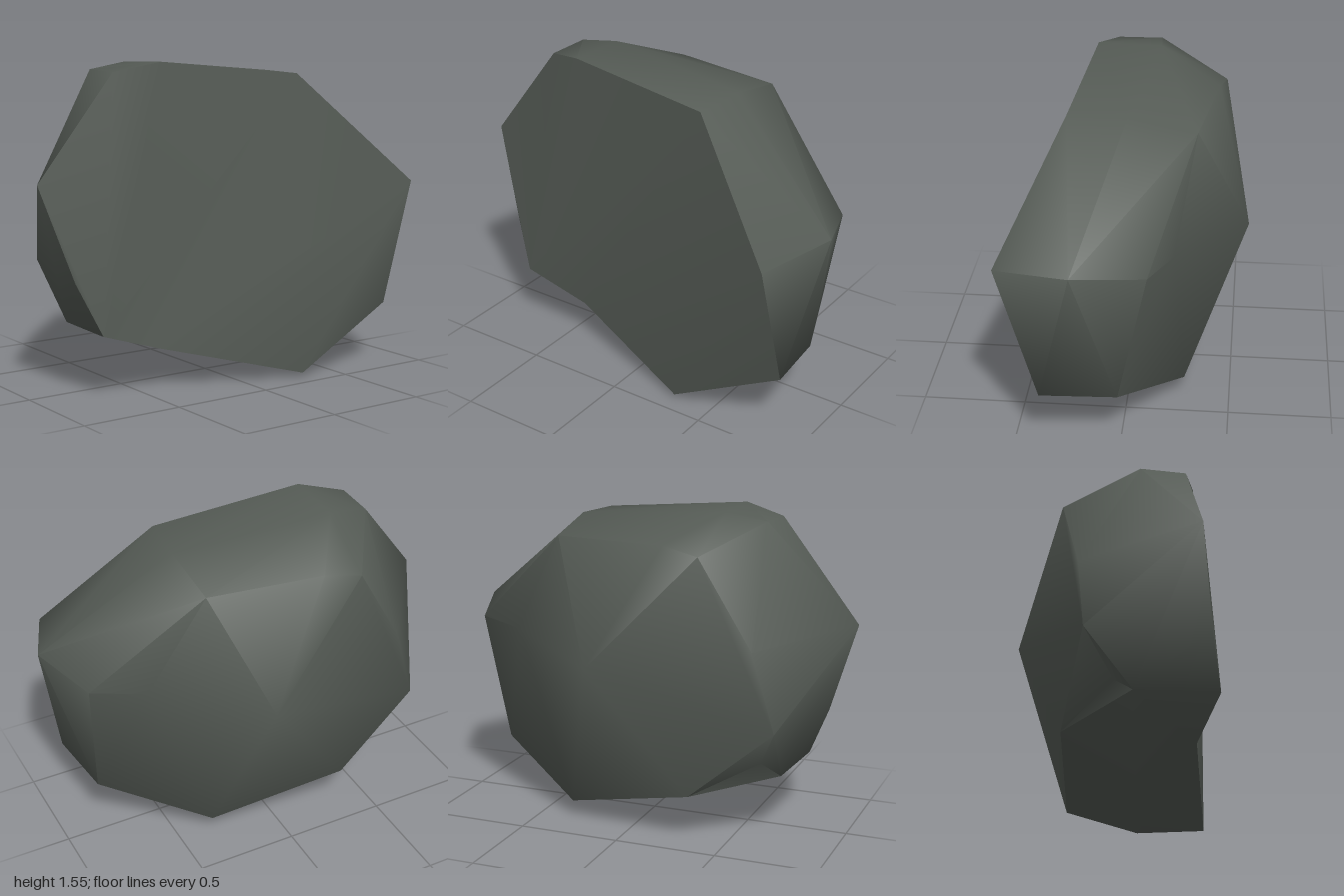
import * as THREE from 'three';
import { ConvexGeometry } from 'three/addons/geometries/ConvexGeometry.js';
import { toCreasedNormals } from 'three/addons/utils/BufferGeometryUtils.js';

const toVectors = (list) => list.map((p) => new THREE.Vector3(...p));

// Rim of the broad cleaved front, clockwise from the left tip
const rim = toVectors([
  [-1, 1.015, 0.11], [-0.61, 1.51, 0.13], [-0.4, 1.555, 0.215], [0.35, 1.485, 0.28],
  [0.86, 0.95, 0.56], [0.865, 0.3, 0.37], [0.3, 0.02, 0.41], [-0.4, 0.2, 0.21],
  [-0.74, 0.31, 0.24], [-0.85, 0.56, 0.18],
]);
// Slightly folded facets that fill the rim
const frontFacets = [
  0, 9, 8, 8, 1, 0, 8, 2, 1, 8, 3, 2, 8, 7, 3, 7, 4, 3, 7, 6, 4, 6, 5, 4,
];

// Corners of the rounded back: crown, waist, base
const back = toVectors([
  [-0.6, 1.515, -0.09], [-0.4, 1.547, -0.1], [0.38, 1.49, 0], [0.365, 1.425, -0.32],
  [-0.2, 1.425, -0.4], [-0.38, 1.39, -0.43],
  [1, 1, 0.2], [0.88, 0.95, -0.13], [0.13, 0.85, -0.565], [-0.63, 0.96, -0.39], [-0.74, 0.58, -0.38],
  [0.82, 0.28, 0.01], [0.34, 0, 0.08], [0.33, 0.08, -0.275], [-0.33, 0.235, -0.41], [-0.71, 0.305, -0.15],
]);
// Shallow hollows in the back
const hollows = toVectors([[-0.63, 0.38, -0.22], [0.63, 0.93, -0.235]]);

function frontGeometry() {
  const geometry = new THREE.BufferGeometry().setFromPoints(rim);
  geometry.setIndex(frontFacets);
  geometry.computeVertexNormals();
  return geometry;
}

// Wrap a hull with the rim flattened and the hollows filled out,
// then leave the front open and settle every corner in its true place
function backGeometry() {
  const centre = new THREE.Vector3(0, 0.8, 0);
  const corners = [...rim, ...back, ...hollows];
  const wrapped = [
    ...rim.map((p) => new THREE.Vector3(p.x, p.y, 0.2 + 0.25 * (p.x + 1))),
    ...back,
    ...hollows.map((p) => p.clone().sub(centre).multiplyScalar(1.1).add(centre)),
  ];
  const hull = new ConvexGeometry(wrapped).getAttribute('position');
  const vertex = new THREE.Vector3();
  const points = [];
  for (let i = 0; i < hull.count; i += 3) {
    const face = [i, i + 1, i + 2].map((j) => {
      vertex.fromBufferAttribute(hull, j);
      return wrapped.findIndex((p) => p.distanceTo(vertex) < 1e-4);
    });
    if (face.some((k) => k >= rim.length)) points.push(...face.map((k) => corners[k]));
  }
  return toCreasedNormals(new THREE.BufferGeometry().setFromPoints(points), 1.05);
}

export function createModel() {
  const stone = new THREE.MeshStandardMaterial({ color: 0x555b55 });
  stone.name = 'stone';

  const group = new THREE.Group();
  group.name = 'rock';
  const parts = { cleavedFront: frontGeometry(), roundedBack: backGeometry() };
  for (const [name, geometry] of Object.entries(parts)) {
    const mesh = new THREE.Mesh(geometry, stone);
    mesh.name = name;
    group.add(mesh);
  }
  return group;
}
